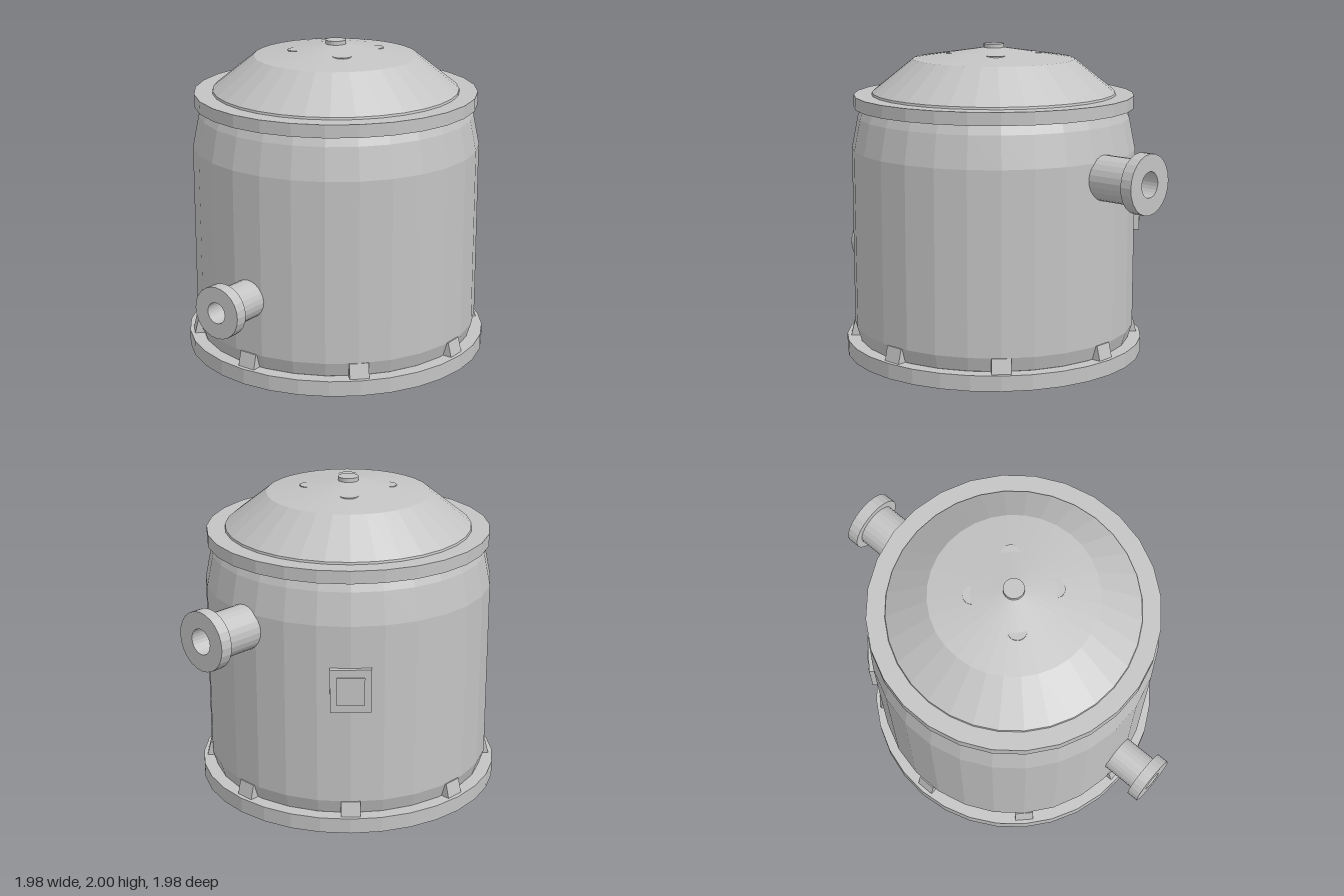
import * as THREE from 'three';

const steel = new THREE.MeshStandardMaterial({ color: 0xc3c3c3, flatShading: true });
steel.name = 'grey steel';

function add(parent, name, geometry) {
  const mesh = new THREE.Mesh(geometry, steel);
  mesh.name = name;
  parent.add(mesh);
  return mesh;
}

// Turned part from [radius, y] pairs, listed upward along the outside
function turned(points, sides) {
  return new THREE.LatheGeometry(points.map(([r, y]) => new THREE.Vector2(r, y)), sides);
}

// Flanged pipe with a bore, pointing outward at the given angle
function addNozzle(parent, name, { angle, y, reach, pipe, flange, bore }) {
  const neck = reach - 0.077;
  const geometry = turned([
    [pipe, 0.82], [pipe, neck], [flange, neck], [flange, reach],
    [bore, reach], [bore, 0.92], [0, 0.92],
  ], 24);
  geometry.rotateZ(-Math.PI / 2);
  const mesh = add(parent, name, geometry);
  mesh.position.y = y;
  mesh.rotation.y = angle;
}

export function createModel() {
  const model = new THREE.Group();
  model.name = 'tank';
  const body = new THREE.Group();
  body.name = 'tankBody';
  body.position.set(-0.025, 0, 0.023);
  model.add(body);

  // Base ring, open in the middle
  add(body, 'baseRing', turned([
    [0.857, 0], [0.966, 0], [0.966, 0.098], [0.857, 0.098], [0.857, 0],
  ], 32));

  // Shell with a dished bottom and a shoulder
  add(body, 'shell', turned([
    [0, 0.055], [0.81, 0.055], [0.885, 0.1], [0.913, 0.19], [0.913, 1.34],
    [0.873, 1.54], [0.845, 1.61], [0, 1.61],
  ], 28));

  // Rim flange and domed lid
  add(body, 'rimFlange', turned([
    [0, 1.6], [0.898, 1.6], [0.898, 1.68], [0, 1.68],
  ], 28));
  add(body, 'lid', turned([
    [0.785, 1.67], [0.78, 1.694], [0.517, 1.905], [0, 1.985],
  ], 32));

  // Centre cap and four bosses that just break the lid surface
  const cap = add(body, 'lidCap', new THREE.CylinderGeometry(0.065, 0.065, 0.05, 20));
  cap.position.y = 1.975;
  for (let i = 0; i < 4; i++) {
    const a = i * Math.PI / 2;
    const boss = add(body, 'lidBoss', new THREE.CylinderGeometry(0.06, 0.06, 0.05, 20));
    boss.position.set(0.245 * Math.sin(a), 1.92, 0.245 * Math.cos(a));
  }

  // Eight tapered brackets around the foot
  const profile = new THREE.Shape([
    [0.835, 0.04], [0.92, 0.04], [0.938, 0.098], [0.915, 0.19], [0.835, 0.19],
  ].map(([x, y]) => new THREE.Vector2(x, y)));
  const bracket = new THREE.ExtrudeGeometry(profile, { depth: 0.12, bevelEnabled: false });
  bracket.translate(0, 0, -0.06);
  for (let i = 0; i < 8; i++) {
    add(body, 'footBracket', bracket).rotation.y = i * Math.PI / 4;
  }

  // Upper nozzle at the back, lower nozzle at the front
  addNozzle(body, 'upperNozzle', {
    angle: Math.PI / 4, y: 1.239, reach: 1.248, pipe: 0.141, flange: 0.187, bore: 0.08,
  });
  addNozzle(body, 'lowerNozzle', {
    angle: Math.PI * 1.25, y: 0.545, reach: 1.203, pipe: 0.12, flange: 0.163, bore: 0.066,
  });

  // Square plate with a raised centre on the back
  const plate = add(body, 'backPlate', new THREE.BoxGeometry(0.25, 0.275, 0.07));
  plate.position.set(0, 0.938, -0.901);
  const panel = add(body, 'backPanel', new THREE.BoxGeometry(0.17, 0.175, 0.05));
  panel.position.set(0, 0.938, -0.92);

  return model;
}
